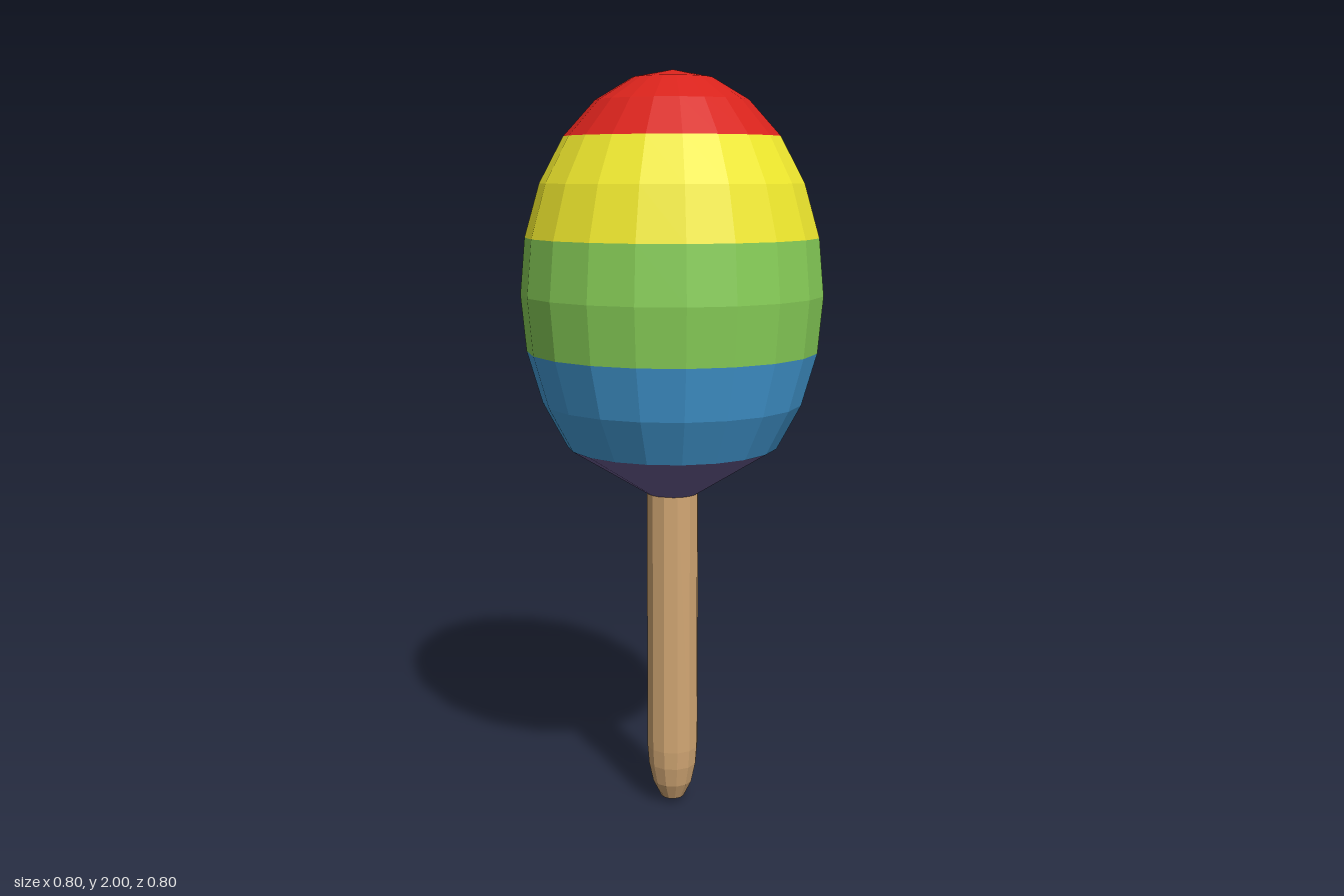
import * as THREE from 'three';

const SIDES = 20, CENTRE = 1.427, RADIUS = 0.4, HALF_HEIGHT = 0.573;

// Point on the egg outline, in 15 degree steps down from the top
function eggPoint(step) {
  const a = step * Math.PI / 12;
  return [RADIUS * Math.sin(a), CENTRE + HALF_HEIGHT * Math.cos(a)];
}

// Faceted turned part; profile runs from bottom to top
function turned(name, profile, sides, color) {
  const points = profile.map(([r, y]) => new THREE.Vector2(Math.max(r, 0), y));
  const mesh = new THREE.Mesh(
    new THREE.LatheGeometry(points, sides),
    new THREE.MeshStandardMaterial({ color, flatShading: true, side: THREE.DoubleSide })
  );
  mesh.name = name;
  return mesh;
}

export function createModel() {
  const model = new THREE.Group();
  model.name = 'maraca';

  // Coloured bands of the egg-shaped head
  const bands = [
    ['redCap', 0, 3, 0xd8231c],
    ['yellowBand', 3, 5, 0xf0e92e],
    ['greenBand', 5, 7, 0x88cf58],
    ['blueBand', 7, 9, 0x459fdb],
  ];
  for (const [name, from, to, color] of bands) {
    const profile = [];
    for (let s = to; s >= from; s--) profile.push(eggPoint(s));
    model.add(turned(name, profile, SIDES, color));
  }

  // Cone tapering from the head to the handle
  model.add(turned('purpleNeck', [[0, 0.89], [0.07, 0.89], eggPoint(9)], SIDES, 0x6d5f96));

  // Wooden handle with a rounded end
  model.add(turned('handle', [
    [0, 0], [0.032, 0.014], [0.055, 0.06], [0.067, 0.115], [0.071, 0.165], [0.071, 0.9],
  ], 12, 0xd2a774));

  return model;
}
